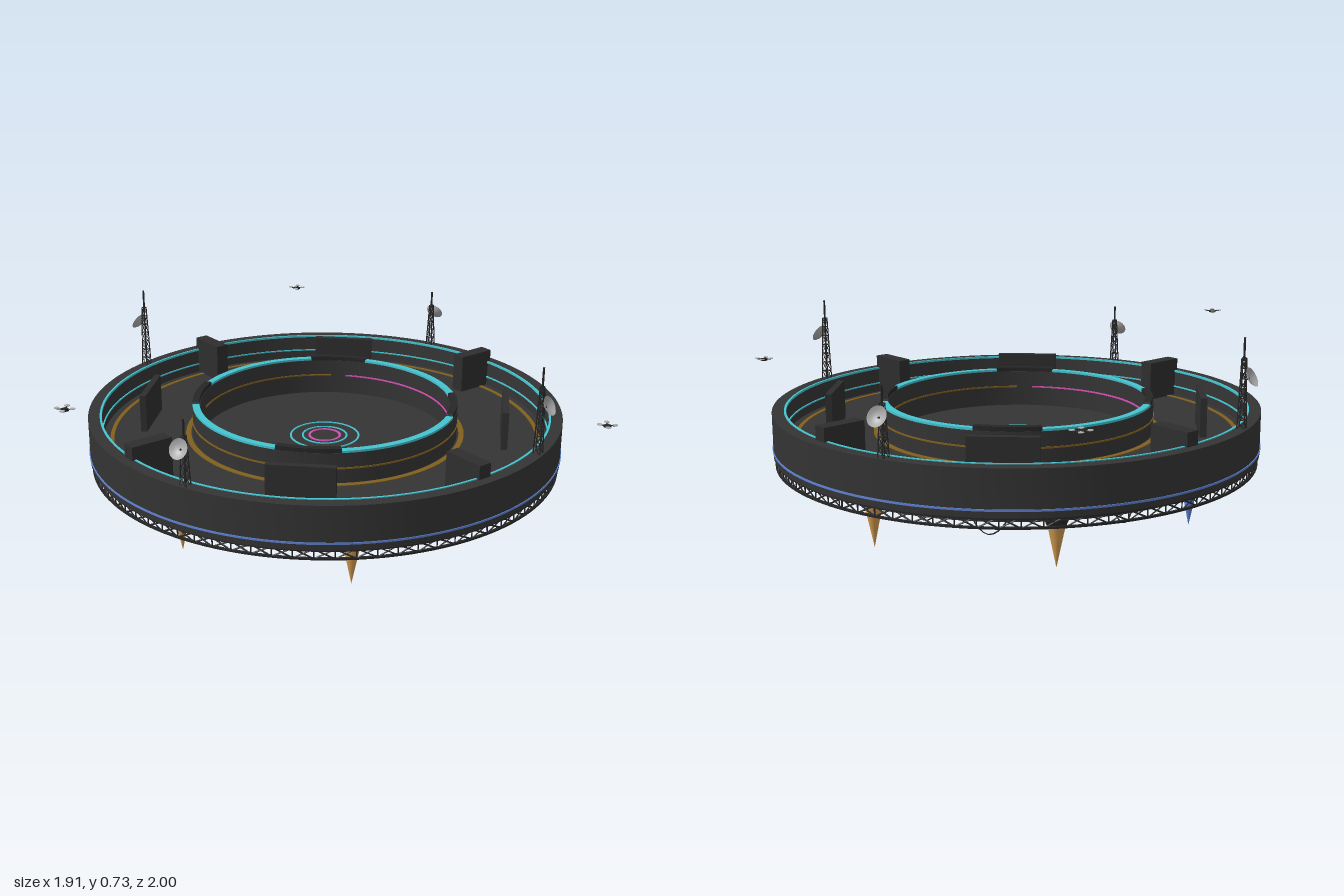
import * as THREE from 'three';
import { mergeGeometries, toCreasedNormals } from 'three/addons/utils/BufferGeometryUtils.js';

const mat = (name, color) => Object.assign(new THREE.MeshStandardMaterial({ color }), { name });
const V = (x, y, z) => new THREE.Vector3(x, y, z);
// point on a circle, angle measured from +z towards +x
const polar = (r, a, y) => V(r * Math.sin(a), y, r * Math.cos(a));

export function createModel() {
  const M = {
    hull: mat('hullGrey', 0x343434),
    dark: mat('darkMetal', 0x262626),
    panel: mat('panelGrey', 0x2e2e2e),
    cyan: mat('cyanLight', 0x45c4d0),
    pink: mat('pinkLight', 0xd44fb4),
    bronze: mat('bronzeLine', 0x80601f),
    gold: mat('goldFlame', 0xd49c50),
    blue: mat('blueFlame', 0x5f84d4),
    dish: mat('dishGrey', 0xacacac),
  };
  M.dish.side = THREE.DoubleSide;
  const root = new THREE.Group();
  root.name = 'floatingPlatform';
  const station = new THREE.Group();
  station.name = 'station';
  station.position.set(-0.014, 0, -0.1025);
  root.add(station);

  const add = (name, geo, material, parent = station) => {
    const m = new THREE.Mesh(geo, material);
    m.name = name;
    parent.add(m);
    return m;
  };
  const lathe = (pts, seg = 96, start = 0, len = Math.PI * 2) => toCreasedNormals(
    new THREE.LatheGeometry(pts.map(p => new THREE.Vector2(...p)), seg, start, len), 0.5);
  // rectangular ring section, optionally only an arc
  const band = (r0, r1, y0, y1, mid = 0, half = Math.PI) =>
    lathe([[r0, y0], [r1, y0], [r1, y1], [r0, y1], [r0, y0]], half > 3 ? 128 : 32, mid - half, half * 2);
  const strut = (a, b, r, sides = 4) => {
    const d = b.clone().sub(a);
    const g = new THREE.CylinderGeometry(r, r, d.length(), sides, 1);
    g.applyQuaternion(new THREE.Quaternion().setFromUnitVectors(V(0, 1, 0), d.normalize()));
    return g.translate((a.x + b.x) / 2, (a.y + b.y) / 2, (a.z + b.z) / 2);
  };

  // main dish: underside, rim, sunken deck, arena wall and arena floor
  add('hull', lathe([[0, 0.18], [0.555, 0.18], [0.555, 0.215], [0.81, 0.215], [0.81, 0.255],
    [0.895, 0.255], [0.895, 0.415], [0.85, 0.415], [0.845, 0.315], [0.505, 0.315],
    [0.505, 0.428], [0.475, 0.428], [0.475, 0.288], [0, 0.288]], 128), M.hull);
  add('lowerHub', lathe([[0, 0.05], [0.09, 0.05], [0.09, 0.09], [0.137, 0.09], [0.137, 0.185]], 48), M.hull);

  // light strips and painted rings
  add('rimBlueLine', band(0.893, 0.898, 0.277, 0.284), M.blue);
  add('rimTopLine', band(0.844, 0.852, 0.41, 0.418), M.cyan);
  add('rimInnerLine', band(0.842, 0.847, 0.348, 0.353), M.cyan);
  add('deckOuterLine', band(0.803, 0.818, 0.312, 0.318), M.bronze);
  add('deckInnerLine', band(0.512, 0.532, 0.312, 0.318), M.bronze);
  add('wallOuterLine', band(0.503, 0.508, 0.368, 0.374), M.bronze);
  add('floorOuterRing', band(0.127, 0.134, 0.286, 0.291), M.cyan);
  add('floorMiddleRing', band(0.081, 0.088, 0.286, 0.291), M.cyan);
  add('floorInnerRing', band(0.054, 0.063, 0.286, 0.291), M.pink);

  for (let i = 0; i < 4; i++) {
    const a = i * Math.PI / 2, d = a + Math.PI / 4;
    add('arenaLight', band(0.478, 0.504, 0.426, 0.436, a, 0.55), M.cyan);
    add('arenaGate', band(0.477, 0.503, 0.42, 0.444, d, 0.235), M.dark);
    add('wallInnerLine', band(0.472, 0.477, 0.362, 0.368, a, 0.72), i % 2 ? M.bronze : M.pink);
    // radial blocks and diagonal screens on the deck
    const block = add('deckBlock', new THREE.BoxGeometry(0.052, 0.152, 0.16), M.panel);
    block.position.copy(polar(0.78, a, 0.389));
    block.rotation.y = a;
    const screen = add('deckScreen', new THREE.BoxGeometry(0.24, 0.147, 0.024), M.panel);
    screen.position.copy(polar(0.682, d, 0.387));
    screen.rotation.y = d;
  }

  // lattice skirt under the rim
  const skirt = [band(0.88, 0.89, 0.217, 0.224), band(0.88, 0.89, 0.248, 0.256)]
    .map(g => { g.deleteAttribute('uv'); return g; });
  const N = 80;
  for (let i = 0; i < N; i++) {
    const a = i / N * Math.PI * 2, b = (i + 1) / N * Math.PI * 2;
    for (const [p, q] of [[polar(0.885, a, 0.22), polar(0.885, a, 0.255)],
      [polar(0.885, a, 0.22), polar(0.885, b, 0.255)], [polar(0.885, a, 0.255), polar(0.885, b, 0.22)]]) {
      const g = strut(p, q, 0.003).toNonIndexed();
      g.deleteAttribute('uv');
      skirt.push(g);
    }
  }
  add('latticeSkirt', mergeGeometries(skirt), M.dark);

  // six thrusters, one opposite pair burning blue
  for (let i = 0; i < 6; i++) {
    const t = new THREE.Group();
    t.name = 'thruster';
    t.position.copy(polar(0.657, i * Math.PI / 3, 0));
    station.add(t);
    add('nozzle', lathe([[0, 0.152], [0.034, 0.152], [0.044, 0.175], [0.044, 0.225]], 20), M.dark, t);
    add('flame', new THREE.ConeGeometry(0.032, 0.155, 20).rotateX(Math.PI).translate(0, 0.0775, 0),
      i === 2 || i === 5 ? M.blue : M.gold, t);
  }

  // sagging cables under the deck
  const cables = [];
  for (let i = 0; i < 24; i++) {
    const a = i * Math.PI / 12 + 0.06 * Math.sin(i * 5), span = 0.2 + 0.09 * Math.sin(i * 2.3);
    const r0 = 0.66 + 0.07 * Math.sin(i * 3.1), r1 = 0.66 + 0.07 * Math.cos(i * 1.7);
    const sag = 0.09 + 0.05 * Math.sin(i * 4.1);
    const pts = [0, 0.25, 0.5, 0.75, 1].map(t =>
      polar(r0 + (r1 - r0) * t, a + span * t, 0.218 - sag * 4 * t * (1 - t) * 0.8));
    cables.push(new THREE.TubeGeometry(new THREE.CatmullRomCurve3(pts), 14, 0.0025, 4));
  }
  add('cables', mergeGeometries(cables), M.dark);

  // lattice masts with dishes, tall ones at the sides
  for (let i = 0; i < 4; i++) {
    const a = i * Math.PI / 2 + 0.35, tall = i % 2 === 1;
    const mast = new THREE.Group();
    mast.name = 'antennaMast';
    mast.position.copy(polar(0.872, a, 0.41));
    mast.rotation.y = a;
    station.add(mast);
    const h = tall ? 0.25 : 0.18, top = tall ? 0.32 : 0.238, parts = [];
    const levels = tall ? 7 : 5;
    const corner = (k, l) => {
      const w = 0.013 - 0.007 * l / levels, c = k * Math.PI / 2 + Math.PI / 4;
      return V(w * Math.SQRT2 * Math.cos(c), h * l / levels, w * Math.SQRT2 * Math.sin(c));
    };
    for (let k = 0; k < 4; k++) {
      parts.push(strut(corner(k, 0), corner(k, levels), 0.0025));
      for (let l = 0; l < levels; l++) {
        parts.push(strut(corner(k, l), corner(k + 1, l + 1), 0.0016));
        parts.push(strut(corner(k, l + 1), corner(k + 1, l + 1), 0.0016));
      }
    }
    parts.push(strut(V(0, h - 0.01, 0), V(0, top, 0), 0.004, 6));
    const y = tall ? 0.18 : 0.137;
    parts.push(strut(V(0, y, 0), V(0, y, 0.02), 0.004, 6));
    add('mastFrame', mergeGeometries(parts), M.dark, mast);
    const bowl = add('dish', new THREE.LatheGeometry([[0, 0], [0.014, 0.002], [0.026, 0.007], [0.036, 0.015]]
      .map(p => new THREE.Vector2(...p)), 20), M.dish, mast);
    bowl.position.set(0, y, 0.018);
    bowl.rotation.x = 1.05;
  }

  // three hovering drones
  for (const [x, y, z] of [[-0.93, 0.572, -0.66], [0.925, 0.502, -0.615], [-0.04, 0.64, 0.971]]) {
    const drone = new THREE.Group();
    drone.name = 'drone';
    drone.position.set(x, y, z);
    root.add(drone);
    add('droneBody', new THREE.BoxGeometry(0.02, 0.009, 0.02), M.dark, drone);
    for (const sx of [-1, 1]) {
      add('droneArm', strut(V(-0.019, 0.002, -0.019 * sx), V(0.019, 0.002, 0.019 * sx), 0.002), M.dark, drone);
      for (const sz of [-1, 1]) {
        const rotor = add('droneRotor', new THREE.CylinderGeometry(0.0095, 0.0095, 0.002, 12), M.dish, drone);
        rotor.position.set(0.019 * sx, 0.005, 0.019 * sz);
      }
    }
  }
  return root;
}
